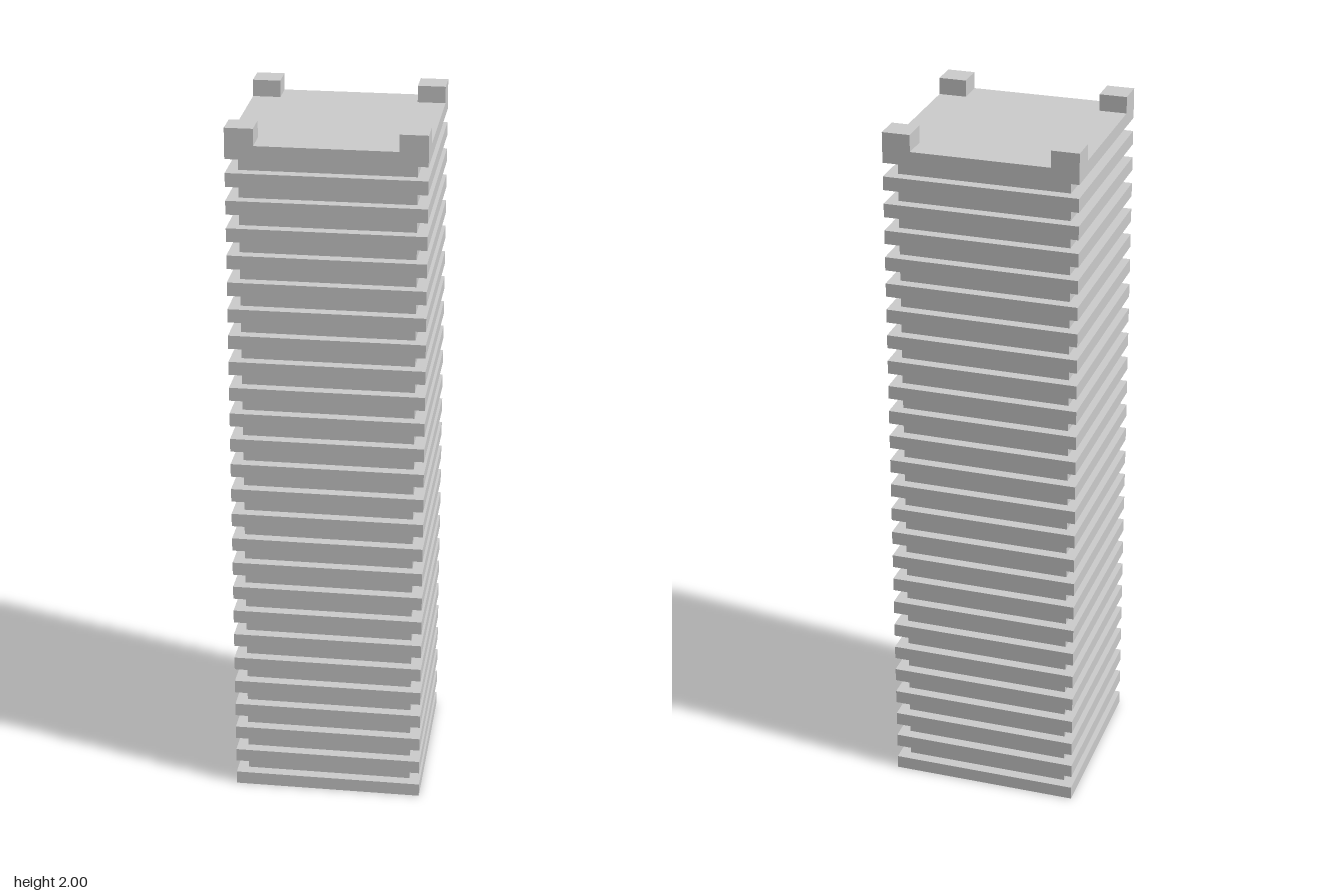
import * as THREE from 'three';

export function createModel() {
  const tower = new THREE.Group();
  tower.name = 'tower';
  const material = new THREE.MeshStandardMaterial({ color: 0xcccccc, flatShading: true });

  // Square block standing on height y
  function addBlock(name, width, height, x, y, z) {
    const mesh = new THREE.Mesh(new THREE.BoxGeometry(width, height, width), material);
    mesh.position.set(x, y + height / 2, z);
    mesh.name = name;
    tower.add(mesh);
  }

  const floors = 26;
  const layer = 0.0383; // height of a slab, and of the recess above it
  const slabWidth = 0.538;
  const coreWidth = 0.476;
  const roofY = layer * (2 * floors - 1);

  // Alternating floor slabs and recessed window bands
  for (let i = 0; i < floors; i++) {
    const y = i * 2 * layer;
    addBlock('floorSlab', slabWidth, layer, 0, y, 0);
    if (i < floors - 1) addBlock('windowBand', coreWidth, layer, 0, y + layer, 0);
  }

  // Four blocks on the roof corners
  const corner = 0.077;
  const offset = (slabWidth - corner) / 2;
  for (const sx of [-1, 1]) {
    for (const sz of [-1, 1]) {
      addBlock('roofCorner', corner, 2 - roofY, sx * offset, roofY, sz * offset);
    }
  }
  return tower;
}
